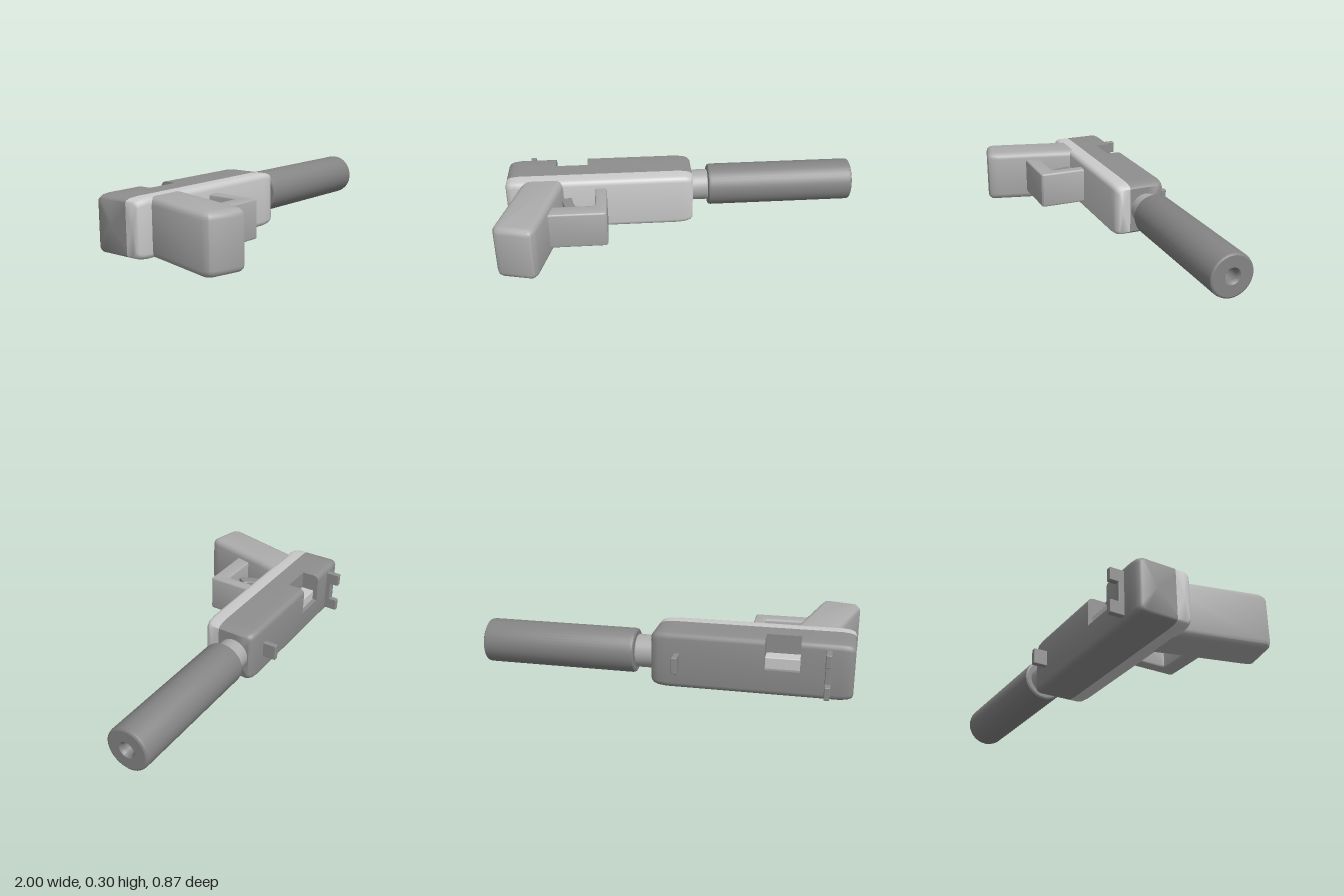
import * as THREE from 'three';
import { toCreasedNormals } from 'three/addons/utils/BufferGeometryUtils.js';
import { RoundedBoxGeometry } from 'three/addons/geometries/RoundedBoxGeometry.js';

const paint = (color) => new THREE.MeshStandardMaterial({ color, side: THREE.DoubleSide });
const LIGHT = paint(0xd4d4d4), MEDIUM = paint(0xacacac), DARK = paint(0x8e8e8e), DARKEST = paint(0x848484);
const MID_Y = 0.15, MID_Z = -0.21, HALF = 0.15, SEAM_Z = -0.15;

function part(group, name, material, geometry) {
  const mesh = new THREE.Mesh(geometry, material);
  mesh.name = name;
  group.add(mesh);
  return mesh;
}

// Rounded box given by its limits on each axis
function block(group, name, material, [x0, x1], [y0, y1], [z0, z1]) {
  const mesh = part(group, name, material, new RoundedBoxGeometry(x1 - x0, y1 - y0, z1 - z0, 2, 0.005));
  mesh.position.set((x0 + x1) / 2, (y0 + y1) / 2, (z0 + z1) / 2);
}

// Side outline of [x, z] points, extruded upward from y0 to y1 with rounded rims
function slab(points, y0, y1, bevel) {
  const shape = new THREE.Shape(points.map(([x, z]) => new THREE.Vector2(x, -z)));
  const g = new THREE.ExtrudeGeometry(shape, {
    depth: y1 - y0 - 2 * bevel, bevelSize: bevel, bevelThickness: bevel,
    bevelOffset: -bevel, bevelSegments: 3,
  });
  g.rotateX(-Math.PI / 2).translate(0, y0 + bevel, 0);
  return toCreasedNormals(g, 0.6);
}

// Rounded square section, optionally with the ejection port cut from one corner
function section(k, notched) {
  const r = 0.03, c = HALF - r, pts = [];
  const corners = [[1, 1], [-1, 1], [-1, -1], [1, -1]];
  corners.forEach(([sy, sz], i) => {
    if (i === 3) pts.push([-0.01, -HALF]);
    for (let s = 0; s <= 4; s++) {
      const a = (i + s / 4) * Math.PI / 2;
      pts.push(i === 3 && notched ? [-0.01, -0.05] : [sy * c + r * Math.cos(a), sz * c + r * Math.sin(a)]);
    }
    if (i === 3) pts.push([HALF, -0.05]);
  });
  return pts.map(([y, z]) => [MID_Y + y * k, MID_Z + z * k]);
}

// One half of the body, lofted along x and kept between two z limits
function bodyGeometry(zMin, zMax) {
  const stations = [
    [-0.98, 0.85], [-0.973, 0.925], [-0.95, 0.975], [-0.91, 1],
    [-0.71, 1], [-0.71, 1, true], [-0.53, 1, true], [-0.53, 1],
    [-0.02, 1], [0.025, 0.975], [0.05, 0.93], [0.063, 0.85],
  ];
  const clampZ = (z) => Math.min(Math.max(z, zMin), zMax);
  const rings = stations.map(([x, k, cut]) => section(k, cut).map(([y, z]) => [x, y, clampZ(z)]));
  const n = rings[0].length, last = rings.length - 1, midZ = (zMin + zMax) / 2, pos = [];
  const tri = (...p) => p.forEach((v) => pos.push(...v));
  for (let j = 0; j < n; j++) {
    const m = (j + 1) % n;
    for (let i = 0; i < last; i++) {
      tri(rings[i][j], rings[i][m], rings[i + 1][m]);
      tri(rings[i][j], rings[i + 1][m], rings[i + 1][j]);
    }
    tri([stations[0][0], MID_Y, midZ], rings[0][m], rings[0][j]);
    tri([stations[last][0], MID_Y, midZ], rings[last][j], rings[last][m]);
  }
  const g = new THREE.BufferGeometry();
  g.setAttribute('position', new THREE.Float32BufferAttribute(pos, 3));
  return toCreasedNormals(g, 0.8);
}

// Turned part around the barrel axis, from [radius, x] points
function turned(points) {
  const g = new THREE.LatheGeometry(points.map(([r, x]) => new THREE.Vector2(r, x)), 40);
  g.rotateZ(-Math.PI / 2).translate(0, 0.153, -0.244);
  return toCreasedNormals(g, 0.5);
}

export function createModel() {
  const model = new THREE.Group();
  model.name = 'model';

  // Dark slide over a light frame, with the chamber showing in the port
  part(model, 'slide', DARK, bodyGeometry(MID_Z - HALF, SEAM_Z));
  part(model, 'frame', LIGHT, bodyGeometry(SEAM_Z, MID_Z + HALF));
  block(model, 'chamber', LIGHT, [-0.712, -0.528], [0.12, 0.2], [-0.335, -0.25]);

  // Slanted grip
  part(model, 'grip', MEDIUM, slab([
    [-0.88, -0.12], [-0.66, -0.12], [-0.66, -0.07], [-0.69, 0.04], [-0.775, 0.38],
    [-0.785, 0.412], [-0.80, 0.43], [-0.82, 0.435], [-0.97, 0.398], [-0.99, 0.385], [-1, 0.35],
  ], 0, 0.3, 0.035));

  // Trigger guard and curved trigger
  part(model, 'triggerGuard', MEDIUM, slab([
    [-0.74, 0.12], [-0.505, 0.12], [-0.49, 0.115], [-0.485, 0.10], [-0.485, -0.1],
    [-0.422, -0.1], [-0.422, 0.198], [-0.432, 0.208], [-0.76, 0.208],
  ], 0.048, 0.255, 0.01));
  const back = new THREE.QuadraticBezierCurve(
    new THREE.Vector2(-0.675, -0.09), new THREE.Vector2(-0.67, 0.06), new THREE.Vector2(-0.60, 0.115));
  const front = new THREE.QuadraticBezierCurve(
    new THREE.Vector2(-0.565, 0.065), new THREE.Vector2(-0.615, 0.02), new THREE.Vector2(-0.62, -0.09));
  const outline = [...back.getPoints(8), ...front.getPoints(8)].map((p) => [p.x, p.y]);
  part(model, 'trigger', DARK, slab(outline, 0.105, 0.2, 0.006));

  // Barrel neck and the thick muzzle tube with its bore
  part(model, 'barrel', MEDIUM, turned([
    [0, 0.03], [0.088, 0.03], [0.088, 0.155], [0.08, 0.165], [0.08, 0.18],
  ]));
  part(model, 'muzzleTube', DARKEST, turned([
    [0, 0.16], [0.107, 0.16], [0.116, 0.165], [0.119, 0.178], [0.119, 0.982], [0.116, 0.995],
    [0.107, 1], [0.045, 1], [0.036, 0.99], [0.032, 0.98], [0.032, 0.8], [0, 0.8],
  ]));

  // Sights
  block(model, 'frontSight', DARK, [-0.09, -0.06], [0.107, 0.195], [-0.435, -0.34]);
  block(model, 'rearSightBase', DARK, [-0.865, -0.835], [0.03, 0.27], [-0.39, -0.34]);
  for (const y of [0.03, 0.2]) {
    block(model, 'rearSightPost', DARK, [-0.865, -0.835], [y, y + 0.07], [-0.435, -0.34]);
  }
  return model;
}
